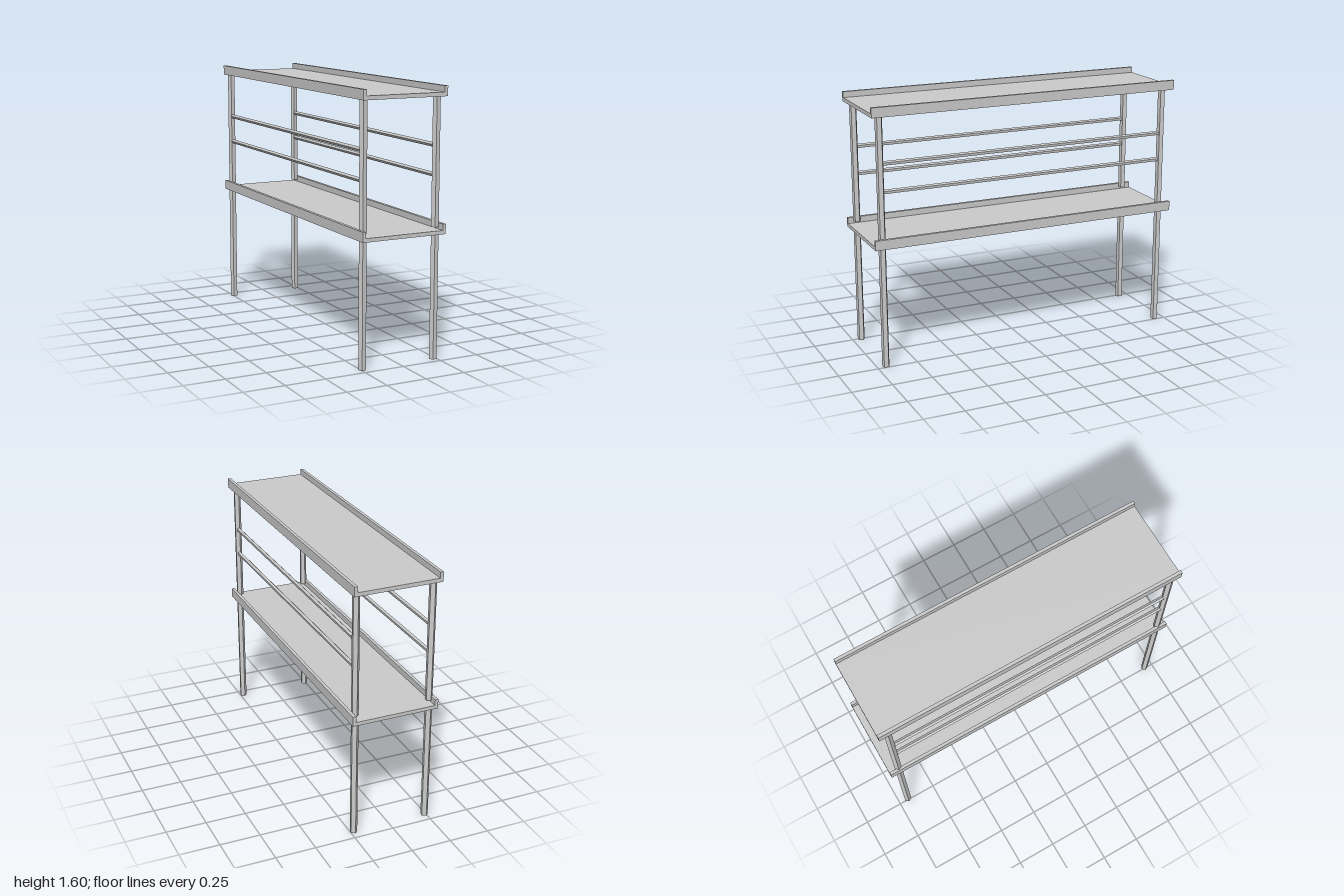
import * as THREE from 'three';

const material = new THREE.MeshStandardMaterial({ color: 0xcccccc, flatShading: true });

function addMesh(parent, name, geometry, x, y, z) {
  const mesh = new THREE.Mesh(geometry, material);
  mesh.name = name;
  mesh.position.set(x, y, z);
  parent.add(mesh);
}

// Flat board with a raised lip along each long side
function makeShelf(name, bottom, boardTop, lipTop) {
  const shelf = new THREE.Group();
  shelf.name = name;
  const lip = 0.02, halfWidth = 0.27, height = lipTop - bottom;
  addMesh(shelf, 'board', new THREE.BoxGeometry(2 * (halfWidth - lip), boardTop - bottom, 2),
    0, (bottom + boardTop) / 2, 0);
  for (const side of [-1, 1]) {
    addMesh(shelf, side > 0 ? 'leftLip' : 'rightLip', new THREE.BoxGeometry(lip, height, 2),
      side * (halfWidth - lip / 2), bottom + height / 2, 0);
  }
  return shelf;
}

// Five-sided upright post between two heights
function addPost(parent, name, x, z, bottom, top) {
  const post = new THREE.CylinderGeometry(0.023, 0.023, top - bottom, 5, 1, false, Math.PI / 4);
  addMesh(parent, name, post, x, (bottom + top) / 2, z);
}

export function createModel() {
  const model = new THREE.Group();
  model.name = 'shelvingRack';

  model.add(makeShelf('lowerShelf', 0.752, 0.775, 0.812));
  model.add(makeShelf('upperShelf', 1.544, 1.568, 1.604));

  for (const [side, x] of [['right', -0.241], ['left', 0.23]]) {
    // Lower legs and upper posts at the corners
    for (const [end, z] of [['Front', 0.945], ['Back', -0.937]]) {
      addPost(model, `${side}${end}Leg`, x, z, 0, 0.752);
      addPost(model, `${side}${end}Post`, x, z, 0.789, 1.544);
    }
    // Two guard rails along each side
    for (const [level, y] of [['Lower', 1.092], ['Upper', 1.263]]) {
      const rail = new THREE.CylinderGeometry(0.014, 0.014, 1.85, 5, 1, false, Math.PI / 4);
      rail.rotateX(Math.PI / 2);
      addMesh(model, `${side}${level}Rail`, rail, x, y, 0.004);
    }
  }
  return model;
}
